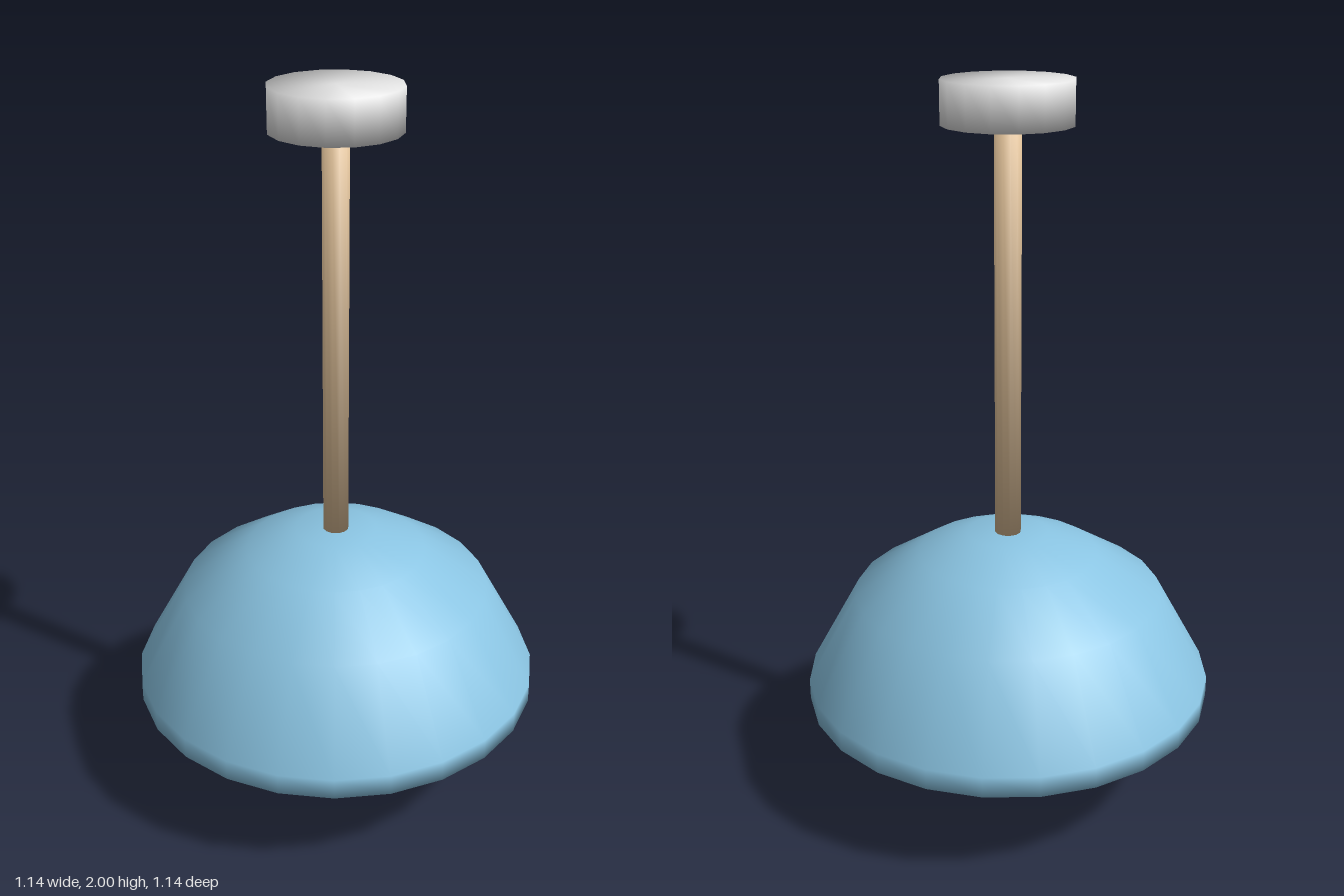
import * as THREE from 'three';

const flat = (name, color) => {
  const m = new THREE.MeshStandardMaterial({ color });
  m.name = name;
  return m;
};

// Revolve a profile of [radius, height] points around the y axis
const turn = (points, sides) =>
  new THREE.LatheGeometry(points.map(([r, y]) => new THREE.Vector2(r, y)), sides);

// Closed cylinder whose normals blend softly over the end edges
function softDrum(radius, bottom, top, sides) {
  const geo = turn([[0, bottom], [radius, bottom], [radius, top], [0, top]], sides);
  const { position, normal } = geo.attributes;
  const n = new THREE.Vector3();
  for (let i = 0; i < position.count; i++) {
    const up = position.getY(i) > (bottom + top) / 2 ? 1 : -1;
    n.set(position.getX(i) / radius, up, position.getZ(i) / radius).normalize();
    normal.setXYZ(i, n.x, n.y, n.z);
  }
  return geo;
}

export function createModel() {
  const model = new THREE.Group();
  model.name = 'pendantLamp';

  const add = (name, geometry, material) => {
    const mesh = new THREE.Mesh(geometry, material);
    mesh.name = name;
    model.add(mesh);
    return mesh;
  };

  // Ceiling mount and hanging rod
  add('ceilingMount', softDrum(0.172, 1.887, 2, 16), flat('paleGrey', 0xe2e2e2));
  add('rod', softDrum(0.036, 0.75, 1.9, 12), flat('lightWood', 0xdfc098));

  // Dome shade with a low domed hollow: down the hollow, around the rim, up the outside
  const shade = [
    [0, 0.52], [0.2, 0.49], [0.35, 0.41], [0.515, 0.287],
    [0.57, 0.287], [0.57, 0.345], [0.43, 0.6], [0.25, 0.715], [0.112, 0.773], [0, 0.773],
  ];
  add('shade', turn(shade, 24), flat('skyBlue', 0x8ac4e2));

  // Slightly tall bulb with a coarse outline
  const bulb = add('bulb', new THREE.SphereGeometry(0.156, 12, 6), flat('warmCream', 0xe2d5b3));
  bulb.scale.y = 0.175 / 0.156;
  bulb.position.y = 0.175;

  return model;
}
